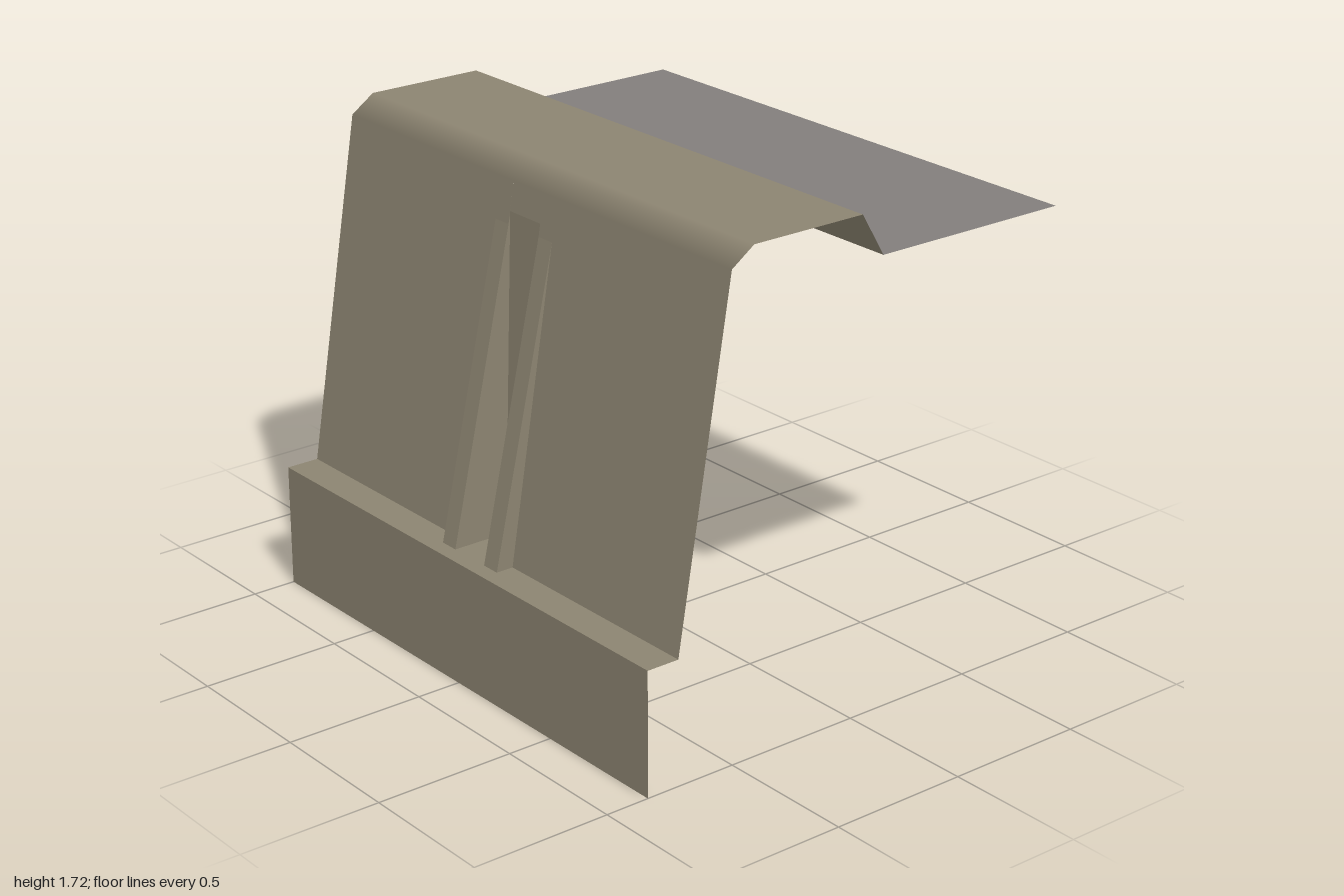
import * as THREE from 'three';

export function createModel() {
  const model = new THREE.Group();
  const tan = new THREE.MeshStandardMaterial({ color: 0x8c8471, side: THREE.DoubleSide });
  tan.name = 'tan sheet';
  const grey = new THREE.MeshStandardMaterial({ color: 0x827e7c, side: THREE.DoubleSide });
  grey.name = 'grey deck';

  const add = (name, geometry, material) => {
    const mesh = new THREE.Mesh(geometry, material);
    mesh.name = name;
    model.add(mesh);
    return mesh;
  };

  // Flat strip between two profile points [z, y], running along x.
  // Optional normals [z, y] at both ends give a smoothly shaded bend.
  const strip = (name, a, b, x0 = -1, x1 = 1, material = tan, na, nb) => {
    const len = Math.hypot(b[0] - a[0], b[1] - a[1]);
    const flat = [(b[1] - a[1]) / len, (a[0] - b[0]) / len];
    const n0 = na || flat, n1 = nb || flat;
    const g = new THREE.BufferGeometry();
    g.setAttribute('position', new THREE.Float32BufferAttribute(
      [x0, a[1], a[0], x1, a[1], a[0], x1, b[1], b[0], x0, b[1], b[0]], 3));
    g.setAttribute('normal', new THREE.Float32BufferAttribute(
      [0, n0[1], n0[0], 0, n0[1], n0[0], 0, n1[1], n1[0], 0, n1[1], n1[0]], 3));
    g.setIndex([0, 1, 2, 0, 2, 3]);
    return add(name, g, material);
  };

  // Profile of the folded sheet, from the front foot to the rear deck
  const foot = [0.84, 0], lip = [0.84, 0.44], ledge = [0.72, 0.44];
  const bendLow = [0.52, 1.66], bendTop = [0.434, 1.72];
  const ridge = [0, 1.72], deckFront = [-0.09, 1.57], deckBack = [-0.84, 1.57];
  const slotTop = [0.536, 1.56], slotFloor = [0.575, 0.44];
  const slot = 0.08;

  strip('frontSkirt', foot, lip);
  strip('ledge', lip, ledge);

  // Sloping panel, left open in the middle for the slot
  strip('panelRight', ledge, bendLow, -1, -slot);
  strip('panelLeft', ledge, bendLow, slot, 1);
  strip('panelAboveSlot', slotTop, bendLow, -slot, slot);
  strip('slotFloor', ledge, slotFloor, -slot, slot);
  strip('slotBack', slotFloor, slotTop, -slot, slot);

  // Rounded shoulder, top and rear deck
  strip('shoulder', bendLow, bendTop, -1, 1, tan, [0.987, 0.162], [0, 1]);
  strip('top', bendTop, ridge);
  strip('rearStep', ridge, deckFront);
  strip('rearDeck', deckFront, deckBack, -1, 1, grey);

  // Tapered fins on both sides of the slot, passing through the panel
  const finShape = new THREE.Shape([[0.8, 0.365], [0.545, 0.365], [0.44, 1.6], [0.525, 1.6]]
    .map(([z, y]) => new THREE.Vector2(-z, y)));
  const finGeometry = new THREE.ExtrudeGeometry(finShape, { depth: 0.07, bevelEnabled: false });
  finGeometry.rotateY(Math.PI / 2);
  add('leftFin', finGeometry, tan).position.x = slot;
  add('rightFin', finGeometry, tan).position.x = -slot - 0.07;

  return model;
}
